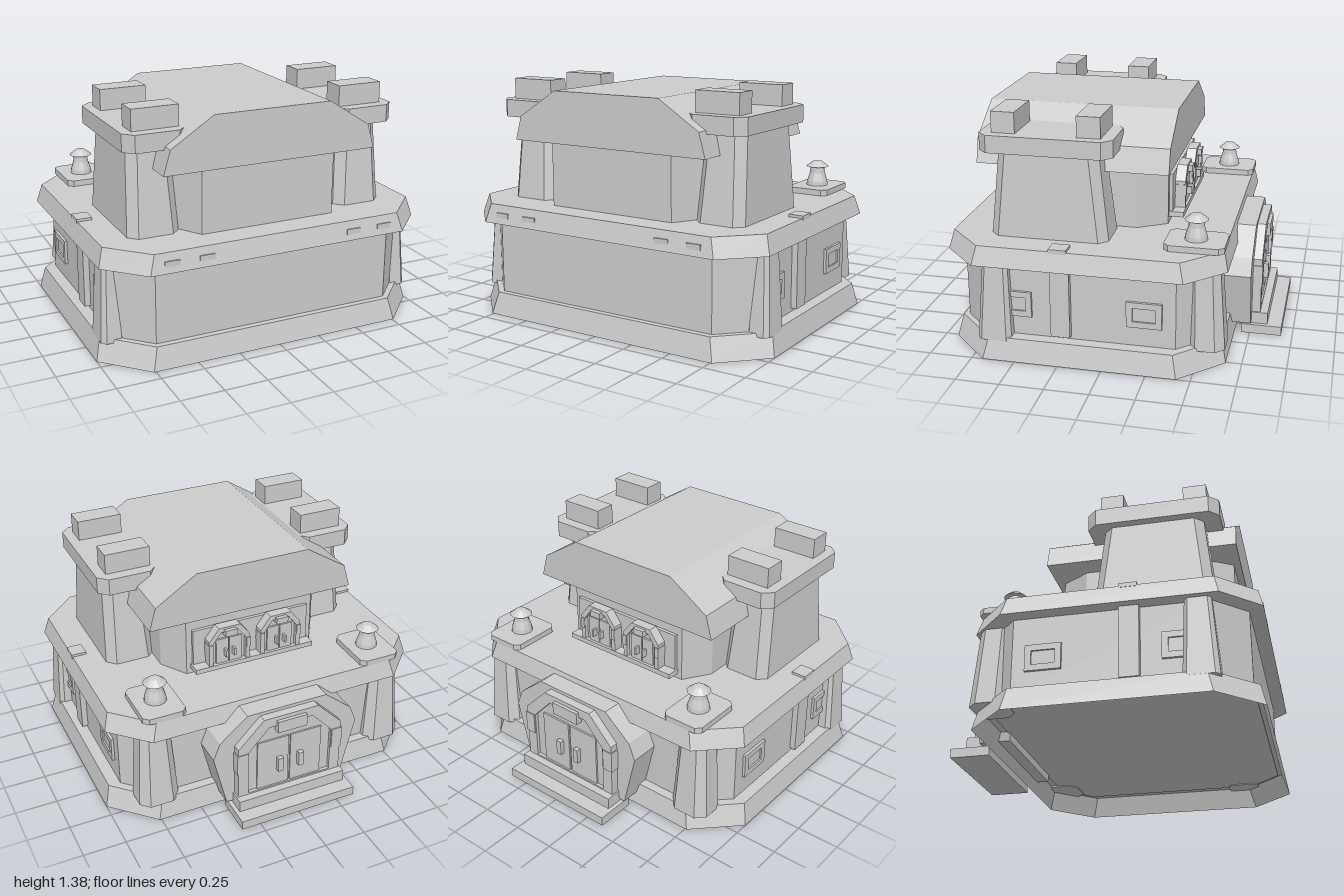
import * as THREE from 'three';

const stone = new THREE.MeshStandardMaterial({ color: 0xcccccc });
stone.name = 'pale stone';

// Stacked chamfered rectangles; each section is [y, xa, xb, za, zb, chamferX, chamferZ]
function loftGeometry(sections) {
  const rings = sections.map(([y, xa, xb, za, zb, c, d = c]) => {
    const x0 = Math.min(xa, xb), x1 = Math.max(xa, xb);
    const z0 = Math.min(za, zb), z1 = Math.max(za, zb);
    return [
      [x0 + c, y, z1], [x1 - c, y, z1], [x1, y, z1 - d], [x1, y, z0 + d],
      [x1 - c, y, z0], [x0 + c, y, z0], [x0, y, z0 + d], [x0, y, z1 - d],
    ];
  });
  const pos = [];
  const tri = (a, b, c) => pos.push(...a, ...b, ...c);
  for (let r = 0; r < rings.length - 1; r++) {
    const a = rings[r], b = rings[r + 1];
    for (let i = 0; i < 8; i++) {
      const j = (i + 1) % 8;
      tri(a[i], a[j], b[j]);
      tri(a[i], b[j], b[i]);
    }
  }
  const bottom = rings[0], top = rings[rings.length - 1];
  for (let i = 1; i < 7; i++) {
    tri(top[0], top[i], top[i + 1]);
    tri(bottom[0], bottom[i + 1], bottom[i]);
  }
  const g = new THREE.BufferGeometry();
  g.setAttribute('position', new THREE.Float32BufferAttribute(pos, 3));
  g.computeVertexNormals();
  return g;
}

function add(parent, name, geometry) {
  const mesh = new THREE.Mesh(geometry, stone);
  mesh.name = name;
  parent.add(mesh);
  return mesh;
}

const loft = (parent, name, ...sections) => add(parent, name, loftGeometry(sections));

// Box given by its extents
function box(parent, name, x0, x1, y0, y1, z0, z1) {
  const g = new THREE.BoxGeometry(Math.abs(x1 - x0), y1 - y0, z1 - z0);
  return add(parent, name, g.translate((x0 + x1) / 2, (y0 + y1) / 2, (z0 + z1) / 2));
}

// Left-right symmetric outline (right half listed bottom to top), with an optional hole
function slab(parent, name, half, z0, z1, holeHalf) {
  const outline = (h) => [...h, ...[...h].reverse().map(([x, y]) => [-x, y])]
    .map(([x, y]) => new THREE.Vector2(x, y));
  const shape = new THREE.Shape(outline(half));
  if (holeHalf) shape.holes.push(new THREE.Path(outline(holeHalf)));
  const g = new THREE.ExtrudeGeometry(shape, { depth: z1 - z0, bevelEnabled: false });
  return add(parent, name, g.translate(0, 0, z0));
}

// Double door in a cut-corner frame, facing +z, standing on y = 0
function makeDoor(name, w, h, d) {
  const door = new THREE.Group();
  door.name = name;
  const arch = (x, y0, y1) => [[x, y0], [x, y0 + (y1 - y0) * 0.68], [x * 0.52, y1]];
  slab(door, 'doorFrame', arch(w, 0, h), 0, d, arch(w * 0.8, h * 0.03, h * 0.88));
  slab(door, 'doorBack', arch(w * 0.82, 0.005, h * 0.9), 0, d * 0.6);
  for (const s of [-1, 1]) {
    box(door, 'doorLeaf', s * w * 0.02, s * w * 0.62, h * 0.03, h * 0.68, 0, d * 0.8);
    box(door, 'doorHandle', s * w * 0.15, s * w * 0.25, h * 0.24, h * 0.42, 0, d * 1.35);
    box(door, 'frameBlock', s * w * 0.82, s * w * 1.02, h * 0.34, h * 0.6, 0, d * 1.1);
  }
  box(door, 'lintelPanel', -w * 0.28, w * 0.28, h * 0.8, h * 0.95, 0, d * 1.4);
  return door;
}

export function createModel() {
  const model = new THREE.Group();
  model.name = 'building';

  // Lower storey; the skirt is hollow below
  loft(model, 'baseSkirt', [0.122, -0.96, 0.96, -0.625, 0.885, 0.235],
    [0, -1, 1, -0.66, 0.925, 0.24], [0.13, -0.97, 0.97, -0.635, 0.895, 0.24]);
  loft(model, 'lowerWalls', [0.115, -0.9, 0.9, -0.58, 0.86, 0.18], [0.56, -0.9, 0.9, -0.58, 0.86, 0.18]);
  loft(model, 'cornice', [0.56, -0.985, 0.985, -0.66, 0.94, 0.21], [0.67, -0.955, 0.955, -0.635, 0.915, 0.21]);

  // Upper hall and faceted roof
  loft(model, 'upperHall', [0.67, -0.505, 0.505, -0.26, 0.76, 0.1, 0.16],
    [1.04, -0.505, 0.505, -0.26, 0.76, 0.1, 0.16]);
  slab(model, 'roof', [[0.64, 1.04], [0.6, 1.18], [0.35, 1.34]], -0.305, 0.8);

  for (const s of [-1, 1]) {
    // Side towers
    loft(model, 'tower', [0.67, s * 0.49, s * 0.79, 0.01, 0.685, 0.05],
      [1.16, s * 0.52, s * 0.77, 0.065, 0.635, 0.05]);
    loft(model, 'towerCornice', [1.16, s * 0.46, s * 0.82, -0.025, 0.73, 0.055],
      [1.26, s * 0.46, s * 0.82, -0.025, 0.73, 0.055]);
    for (const z of [0.112, 0.592]) {
      box(model, 'towerBlock', s * 0.49, s * 0.76, 1.26, 1.38, z - 0.067, z + 0.067);
    }

    // Roof vents on plates
    loft(model, 'ventPlate', [0.67, s * 0.56, s * 0.815, -0.64, -0.305, 0.03],
      [0.705, s * 0.56, s * 0.815, -0.64, -0.305, 0.03]);
    const profile = [[0, 0.7], [0.066, 0.7], [0.062, 0.73], [0.046, 0.78], [0.042, 0.815],
      [0.068, 0.82], [0.03, 0.85], [0, 0.853]].map(([r, y]) => new THREE.Vector2(r, y));
    const ventGeometry = new THREE.LatheGeometry(profile, 12).toNonIndexed();
    ventGeometry.computeVertexNormals();
    add(model, 'vent', ventGeometry).position.set(s * 0.685, 0, -0.47);

    // Tapering piers near the four corners
    loft(model, 'frontPier', [0.11, s * 0.84, s * 0.975, 0.525, 0.72, 0.025],
      [0.56, s * 0.85, s * 0.95, 0.54, 0.685, 0.02]);
    loft(model, 'backPier', [0.11, s * 0.62, s * 0.86, -0.66, -0.45, 0.05],
      [0.56, s * 0.65, s * 0.83, -0.625, -0.45, 0.04]);

    // Side strip, its cap, and framed windows
    box(model, 'sideStrip', s * 0.88, s * 0.935, 0.15, 0.56, 0.19, 0.3);
    box(model, 'stripCap', s * 0.87, s * 0.96, 0.66, 0.685, 0.195, 0.295);
    for (const z of [-0.225, 0.515]) {
      const frame = new THREE.Group();
      frame.name = 'sideWindow';
      slab(frame, 'windowFrame', [[0.1, -0.075], [0.1, 0.075]], 0, 0.016, [[0.065, -0.04], [0.065, 0.04]]);
      box(frame, 'windowPane', -0.066, 0.066, -0.041, 0.041, 0, 0.006);
      frame.position.set(s * 0.9, 0.32, z);
      frame.rotation.y = s * Math.PI / 2;
      model.add(frame);
    }

    // Small plates on the front cornice
    for (const x of [0.45, 0.65]) {
      box(model, 'cornicePlate', s * x - 0.043, s * x + 0.043, 0.595, 0.625, 0.91, 0.933);
    }
  }

  // Back entrance, built facing +z and turned round
  const back = new THREE.Group();
  back.name = 'backEntrance';
  back.rotation.y = Math.PI;
  model.add(back);
  box(back, 'lowerStep', -0.365, 0.365, 0, 0.055, 0.7, 0.935);
  box(back, 'upperStep', -0.34, 0.34, 0.055, 0.125, 0.7, 0.85);
  slab(back, 'portal', [[0.38, 0.07], [0.46, 0.4], [0.42, 0.5], [0.25, 0.64]], 0.57, 0.755);
  const mainDoor = makeDoor('mainDoor', 0.33, 0.5, 0.05);
  mainDoor.position.set(0, 0.12, 0.755);
  back.add(mainDoor);

  // Upper terrace doors
  box(back, 'doorSurround', -0.37, 0.37, 0.705, 0.96, 0.25, 0.28);
  box(back, 'doorLedge', -0.38, 0.38, 0.705, 0.735, 0.25, 0.345);
  for (const x of [-0.165, 0.165]) {
    const door = makeDoor('terraceDoor', 0.13, 0.25, 0.06);
    door.position.set(x, 0.725, 0.28);
    back.add(door);
  }
  return model;
}
